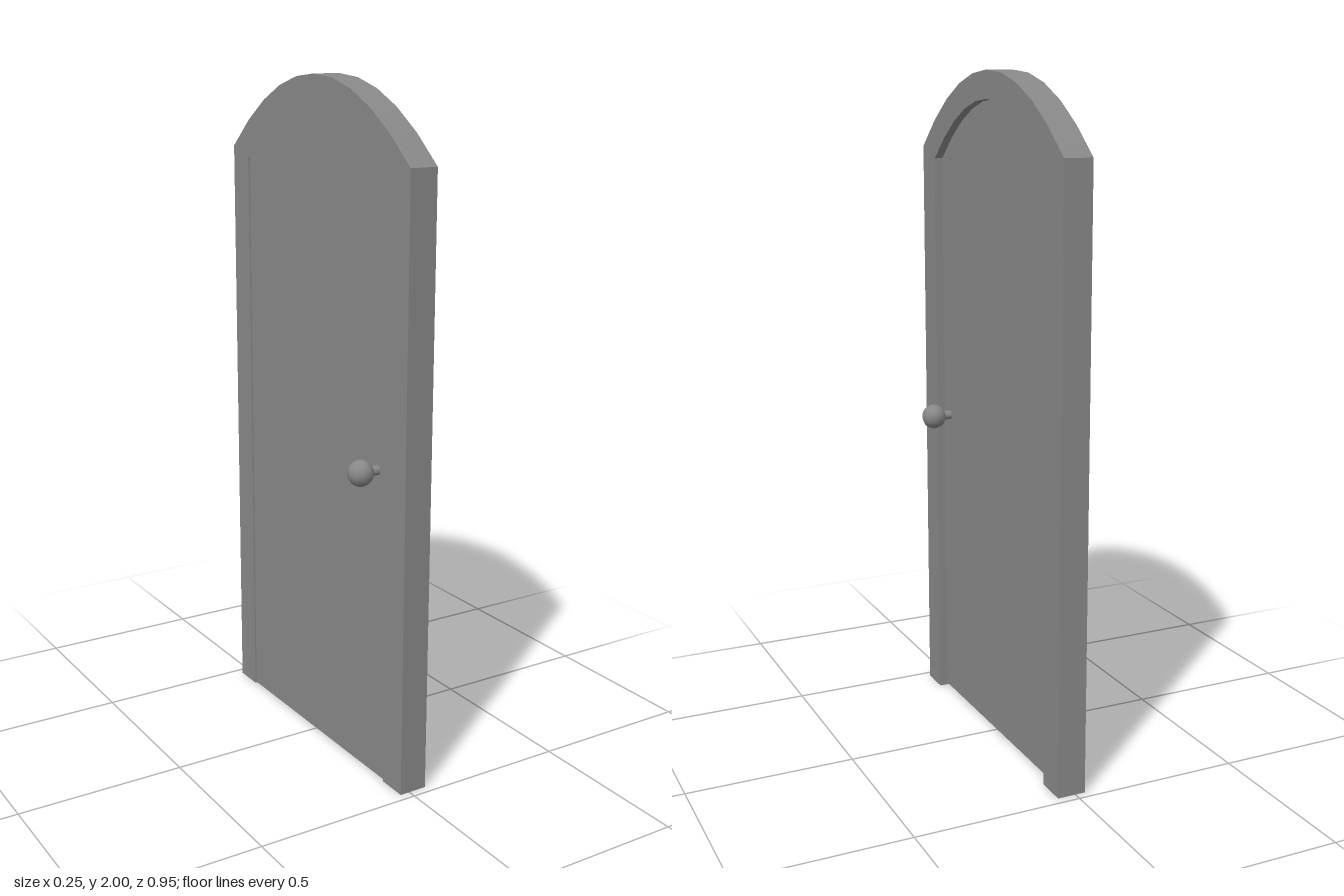
import * as THREE from 'three';
import { toCreasedNormals } from 'three/addons/utils/BufferGeometryUtils.js';

const BACK = -0.03;      // x of the flush side
const FRAME_DEPTH = 0.085;
const DOOR_DEPTH = 0.06;

const material = new THREE.MeshStandardMaterial({ color: 0x888888 });

// Points of a parabolic arch, running from u = start to u = -start
function arch(start, spring, top) {
  const points = [];
  for (let i = 0; i <= 10; i++) {
    const t = 1 - i / 5;
    points.push(new THREE.Vector2(start * t, top - (top - spring) * t * t));
  }
  return points;
}

// Extrude an outline (u = -z, v = y) along +x from the flush side
function slab(name, points, depth) {
  const geometry = new THREE.ExtrudeGeometry(new THREE.Shape(points), { depth, bevelEnabled: false });
  geometry.rotateY(Math.PI / 2);
  geometry.translate(BACK, 0, 0);
  const mesh = new THREE.Mesh(toCreasedNormals(geometry, 0.4), material);
  mesh.name = name;
  return mesh;
}

// Ball knob on a short stem; side is +1 or -1 along x
function knob(side) {
  const group = new THREE.Group();
  group.name = side > 0 ? 'outerKnob' : 'innerKnob';
  const stem = new THREE.Mesh(new THREE.CylinderGeometry(0.014, 0.014, 0.06, 12), material);
  stem.name = 'knobStem';
  stem.rotation.z = Math.PI / 2;
  stem.position.x = side * 0.05;
  const ball = new THREE.Mesh(new THREE.SphereGeometry(0.038, 10, 10), material);
  ball.name = 'knobBall';
  ball.position.x = side * 0.086;
  group.add(stem, ball);
  group.position.set(BACK + DOOR_DEPTH / 2, 0.938, 0.338);
  return group;
}

export function createModel() {
  const model = new THREE.Group();
  model.name = 'archedDoor';

  // Frame: two jambs joined by a faceted arch
  const frame = [
    new THREE.Vector2(0.383, 0),
    new THREE.Vector2(0.475, 0),
    ...arch(0.475, 1.775, 2),
    new THREE.Vector2(-0.475, 0),
    new THREE.Vector2(-0.383, 0),
    ...arch(-0.383, 1.74, 1.92),
  ];
  model.add(slab('doorFrame', frame, FRAME_DEPTH));

  // Door leaf: flush on one side, with a narrow gap at the hinge edge and at the floor
  const leafTop = arch(0.383, 1.74, 1.92);
  leafTop[0].lerp(leafTop[1], 0.1);
  const leaf = [
    new THREE.Vector2(-0.383, 0.007),
    new THREE.Vector2(leafTop[0].x, 0.007),
    ...leafTop,
  ];
  model.add(slab('doorLeaf', leaf, DOOR_DEPTH));

  for (const side of [1, -1]) model.add(knob(side));
  return model;
}
